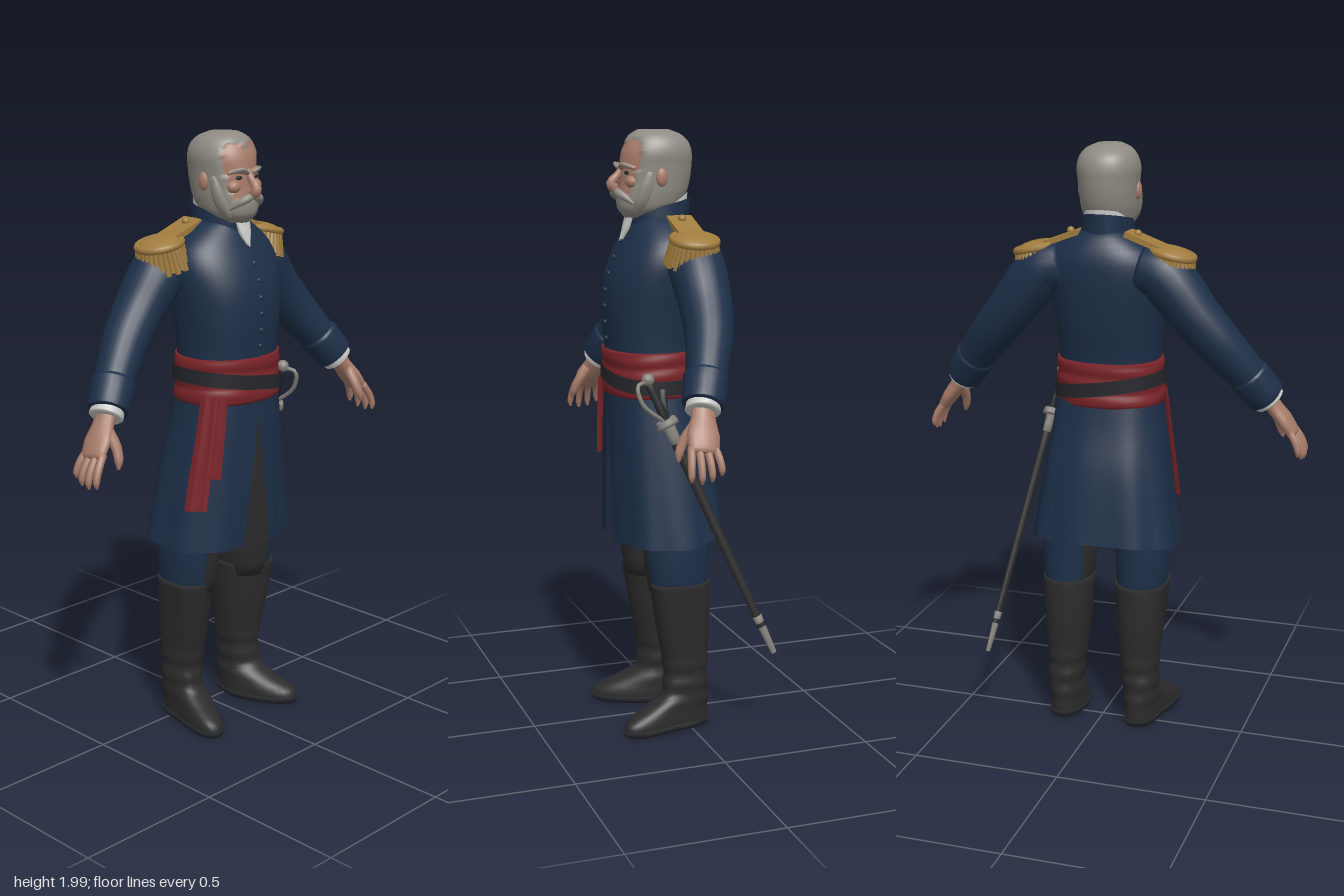
import * as THREE from 'three';
import { mergeGeometries } from 'three/addons/utils/BufferGeometryUtils.js';

const V = (x, y, z) => new THREE.Vector3(x, y, z);
const PI = Math.PI;

// Skin of rings (lists of points); pick(i, j) chooses a material group per face
function loft(rings, { open = false, caps = true, pick = null } = {}) {
  const n = rings[0].length, pos = [], groups = [[], []];
  rings.forEach(r => r.forEach(p => pos.push(p.x, p.y, p.z)));
  const cols = open ? n - 1 : n;
  for (let j = 0; j < rings.length - 1; j++) for (let i = 0; i < cols; i++) {
    const k = (i + 1) % n, a = j * n + i, b = a + n, c = j * n + k, d = c + n;
    groups[pick ? pick(i, j) : 0].push(a, b, c, b, d, c);
  }
  if (!open && caps) for (const j of [0, rings.length - 1]) {
    const m = rings[j].reduce((s, p) => s.add(p), V(0, 0, 0)).divideScalar(n), ci = pos.length / 3;
    pos.push(m.x, m.y, m.z);
    for (let i = 0; i < n; i++) {
      const a = j * n + i, c = j * n + (i + 1) % n;
      groups[pick ? pick(i, Math.max(0, j - 1)) : 0].push(...(j ? [ci, c, a] : [ci, a, c]));
    }
  }
  const g = new THREE.BufferGeometry();
  g.setAttribute('position', new THREE.Float32BufferAttribute(pos, 3));
  g.setIndex([...groups[0], ...groups[1]]);
  if (pick) {
    g.addGroup(0, groups[0].length, 0);
    g.addGroup(groups[0].length, groups[1].length, 1);
  }
  g.computeVertexNormals();
  return g;
}

// Smooth lookup in a table of rows [y, front z, back z, half width, centre x]
function at(st, y) {
  const last = st.length - 1;
  y = Math.min(Math.max(y, st[0][0]), st[last][0]);
  let i = 0;
  while (i < last - 1 && y > st[i + 1][0]) i++;
  const h = st[i + 1][0] - st[i][0], t = (y - st[i][0]) / h;
  const slope = (k, c) => {
    const p = st[Math.max(0, k - 1)], q = st[Math.min(last, k + 1)];
    return (q[c] - p[c]) / (q[0] - p[0]);
  };
  return [1, 2, 3, 4].map(c => st[0][c] === undefined ? 0 :
    (2 * t ** 3 - 3 * t * t + 1) * st[i][c] + (t ** 3 - 2 * t * t + t) * h * slope(i, c) +
    (3 * t * t - 2 * t ** 3) * st[i + 1][c] + (t ** 3 - t * t) * h * slope(i + 1, c));
}
// Point on such a body at angle a (front is PI/2), pushed out by off
function bodyPt(st, a, y, off = 0, p = 2.25) {
  const [zf, zb, rx, cx] = at(st, y), c = Math.cos(a), s = Math.sin(a);
  const pw = v => Math.sign(v) * Math.abs(v) ** (2 / p);
  return V(cx + (rx + off) * pw(c), y, (zf + zb) / 2 + ((zf - zb) / 2 + off) * pw(s));
}
const ring = (n, f) => Array.from({ length: n }, (_, i) => f(i / n * 2 * PI));
const rows = (m, y0, y1, f) => Array.from({ length: m + 1 }, (_, j) => f(y0 + (y1 - y0) * j / m, j / m));
const body = (st, m, n, off = 0, opt = {}, p) =>
  loft(rows(m, st[0][0], st[st.length - 1][0], y => ring(n, a => bodyPt(st, a, y, off, p))), opt);

// Tube along points [x, y, z, radius along side, other radius]
function limb(pts, n = 12, m = 12, side = V(0, 0, 1)) {
  const curve = new THREE.CatmullRomCurve3(pts.map(p => V(p[0], p[1], p[2])));
  return loft(rows(m, 0, 1, t => {
    const c = curve.getPoint(t), d = curve.getTangent(t), f = t * (pts.length - 1);
    const k = Math.min(pts.length - 2, Math.floor(f));
    const r = q => THREE.MathUtils.lerp(pts[k][q] ?? pts[k][3], pts[k + 1][q] ?? pts[k + 1][3], f - k);
    const u = side.clone().addScaledVector(d, -side.dot(d)).normalize(), v = u.clone().cross(d);
    return ring(n, a => c.clone().addScaledVector(u, r(3) * Math.cos(a)).addScaledVector(v, r(4) * Math.sin(a)));
  }));
}
function mirrored(geo) {
  const g = geo.clone().scale(-1, 1, 1), ix = g.index.array;
  for (let i = 0; i < ix.length; i += 3) [ix[i], ix[i + 1]] = [ix[i + 1], ix[i]];
  return g;
}

export function createModel() {
  const root = new THREE.Group();
  const mat = (name, color, side = THREE.FrontSide) => new THREE.MeshStandardMaterial({ name, color, side });
  const navy = mat('navy cloth', 0x1d2f48, THREE.DoubleSide), gold = mat('gold braid', 0xa07c3e);
  const red = mat('red silk', 0x7c2429, THREE.DoubleSide), skin = mat('skin', 0xa87c6a);
  const hair = mat('grey hair', 0x8f8b83), leather = mat('black leather', 0x2b2b2b);
  const belt = mat('dark belt', 0x25272b, THREE.DoubleSide), white = mat('white linen', 0xc9c9c6, THREE.DoubleSide);
  const steel = mat('steel', 0x85827c);
  const add = (name, geo, m) => {
    const o = new THREE.Mesh(geo, m);
    o.name = name;
    root.add(o);
  };
  const pair = (name, geo, m) => { add(name + 'Left', geo, m); add(name + 'Right', mirrored(geo), m); };
  const ball = (x, y, z, r, sx = 1, sy = 1, sz = 1) => new THREE.SphereGeometry(r, 14, 10).scale(sx, sy, sz).translate(x, y, z);

  // Coat body
  const torso = [[1.13, .225, -.06, .176], [1.22, .225, -.055, .172], [1.3, .23, -.06, .172], [1.4, .236, -.077, .181],
    [1.5, .23, -.09, .194], [1.58, .205, -.095, .2], [1.64, .175, -.09, .18], [1.685, .15, -.072, .13], [1.72, .13, -.045, .075]];
  add('coatBody', body(torso, 28, 48), navy);
  add('coatPlacket', loft(rows(16, 1.28, 1.66, y => rows(4, 1.56, 1.68, a => bodyPt(torso, a, y, .005))), { open: true }), navy);
  for (let k = 0; k < 7; k++) {
    const y = 1.32 + k * .053;
    add('coatButton', ball(0, y, at(torso, y)[0] + .003, .009, 1, 1, .7), navy);
  }
  // Standing collar, tilted down to the front, open at the throat
  const collar = (y0, y1, off, gap) => loft(rows(5, y0, y1, (y, t) => rows(40, PI / 2 + gap * t, PI * 2.5 - gap * t, a => {
    const s = Math.sin(a), flare = off + .004 * t;
    return V((.088 - .008 * t + flare) * Math.cos(a), y - .022 * s * t, .05 + (.1 + flare) * s);
  })), { open: true });
  add('collar', collar(1.655, 1.755, 0, .28), navy);
  add('shirtCollar', collar(1.69, 1.768, -.008, .2), white);
  add('cravat', limb([[0, 1.72, .152, .034, .01], [0, 1.68, .163, .026, .012], [0, 1.635, .182, .004, .006]], 10, 8, V(1, 0, 0)), white);

  // Coat skirt, open at the front
  const skirt = [[.645, .228, -.15, .256], [.9, .23, -.115, .217], [1.05, .23, -.08, .193], [1.17, .226, -.058, .176]];
  const skirtPt = (a, y, off = 0) => {
    const p = bodyPt(skirt, a, y, off + .006 * Math.cos(a * 9) * (1.17 - y) * 1.6, 2.4), t = (1.17 - y) / .525;
    p.y += .035 * t * Math.max(0, -Math.sin(a));
    return p;
  };
  add('coatSkirt', loft(rows(16, .645, 1.17, y => {
    const half = Math.max(0, 1.1 - y) * .125, s = Math.asin((half / at(skirt, y)[2]) ** 1.2);
    return rows(64, PI / 2 + s, PI * 2.5 - s, a => skirtPt(a, y));
  }), { open: true }), navy);

  // Sash with folds, hanging tails and slanted sword belt
  add('sash', loft(rows(16, 1.135, 1.285, (y, t) => ring(48, a =>
    bodyPt(torso, a, y, .005 + .006 * Math.abs(Math.sin(t * PI * 3 + .4 * Math.sin(a * 2))))))), red);
  const tail = (a0, a1, y0, off) => loft(rows(10, y0, 1.17, y => rows(8, a0, a1, a =>
    skirtPt(a, y, off + .004 * Math.cos(a * 28)))), { open: true });
  add('sashTailLong', tail(2.42, 2.82, .79, .014), red);
  add('sashTailShort', tail(2.25, 2.6, .9, .022), red);
  add('swordBelt', loft(rows(3, -.024, .024, v => ring(48, a => {
    const p = bodyPt(torso, a, 1.2, .016);
    p.y += v - .15 * p.x;
    return p;
  })), { caps: false }), belt);

  // Legs: trousers with dark inner panel, tall boots
  const leg = [[.47, .125, -.07, .078, .132], [.55, .14, -.072, .087, .132], [.66, .15, -.075, .09, .13], [.85, .16, -.07, .093, .11], [1.12, .16, -.04, .085, .085]];
  const N = 28;
  const trousers = body(leg, 14, N, 0, { pick: i => i > N * .2 && i < N * .6 ? 1 : 0 });
  add('trousersLeft', trousers, [navy, leather]);
  add('trousersRight', mirrored(trousers), [navy, leather]);
  const boot = [[0, .232, -.07, .062, .135], [.03, .236, -.074, .064, .135], [.055, .21, -.073, .062, .135], [.08, .15, -.073, .06, .135],
    [.115, .095, -.073, .06, .137], [.2, .083, -.07, .064, .134], [.35, .108, -.077, .078, .131], [.47, .127, -.078, .086, .131], [.51, .132, -.076, .088, .131]];
  const footPt = (a, y, off) => {
    const p = bodyPt(boot, a, y, off);
    p.x += .3 * Math.max(0, p.z - .05);
    return p;
  };
  pair('boot', loft(rows(36, 0, .51, y => ring(32, a => footPt(a, y, .003 * Math.sin(y * 90) * (y > .06 && y < .24))))), leather);
  pair('bootSole', loft(rows(1, 0, .02, y => ring(32, a => footPt(a, y, .004)))), belt);

  // Arms, cuffs and hands
  pair('sleeve', limb([[.13, 1.6, 0, .08], [.2, 1.585, 0, .092], [.25, 1.535, 0, .092, .09], [.31, 1.46, .002, .085, .082], [.385, 1.37, .018, .077],
    [.46, 1.28, .052, .067], [.53, 1.19, .088, .058]], 20, 28), navy);
  pair('cuff', limb([[.475, 1.262, .06, .064], [.482, 1.252, .064, .071], [.535, 1.182, .092, .066], [.538, 1.178, .094, .055]], 20, 9), navy);
  pair('shirtCuff', limb([[.525, 1.195, .088, .052], [.546, 1.166, .098, .055], [.55, 1.161, .1, .045]], 18, 4), white);
  const hand = [limb([[.54, 1.18, .095, .036, .027], [.565, 1.14, .104, .04, .027], [.595, 1.1, .114, .052, .026], [.622, 1.06, .122, .048, .02], [.628, 1.05, .124, .03, .012]], 14, 12),
    limb([[.57, 1.13, .13, .02], [.566, 1.085, .165, .017], [.572, 1.045, .183, .014], [.578, 1.02, .187, .005]], 8, 9, V(1, 0, 0))];
  for (let k = 0; k < 4; k++) {
    const z = .088 + k * .024, len = [.8, .95, 1, .93][k], sp = (k - 1.5) * .006;
    hand.push(limb([[.615, 1.07, z, .013], [.615 + .03 * len, 1.07 - .045 * len, z + sp, .0125],
      [.615 + .044 * len, 1.07 - .085 * len, z + sp * 1.5, .011], [.615 + .042 * len, 1.07 - .106 * len, z + sp * 1.5, .004]], 8, 9));
  }
  pair('hand', mergeGeometries(hand), skin);

  // Epaulettes: strap, padded disc and hanging fringe
  const ep = [ball(0, 0, 0, .074, 1, .32, 1), new THREE.TorusGeometry(.07, .013, 8, 28).rotateX(PI / 2),
    new THREE.CylinderGeometry(.066, .078, .06, 24).translate(0, -.035, 0)];
  for (let k = 0; k < 25; k++) {
    const a = (k / 24 - .5) * PI * 1.5, len = .075 + .008 * (k % 2);
    ep.push(new THREE.CylinderGeometry(.008, .011, len, 6).translate(0, -len / 2, 0).rotateZ(.2).translate(.07, -.003, 0).rotateY(a));
  }
  pair('epaulette', mergeGeometries(ep).rotateZ(-.22).translate(.232, 1.652, .01), gold);
  pair('epauletteStrap', new THREE.BoxGeometry(.14, .018, .085).rotateZ(-.36).translate(.145, 1.688, .01), gold);
  pair('epauletteButton', ball(.115, 1.712, .01, .013), gold);

  // Head: skin face with grey hair, whiskers and beard
  add('neck', new THREE.CylinderGeometry(.066, .07, .14, 20).translate(0, 1.71, .05), skin);
  const head = [[1.712, .16, .07, .04], [1.74, .182, .0, .072], [1.78, .186, -.03, .085], [1.83, .182, -.046, .09], [1.88, .18, -.052, .094],
    [1.92, .174, -.052, .097], [1.955, .158, -.04, .087], [1.98, .137, -.012, .066], [1.994, .112, .025, .035]];
  const isHair = (a, y) => {
    const d = Math.abs(a - PI / 2 > PI ? a - 2.5 * PI : a - PI / 2);
    if (y < 1.785) return true;
    if (y < 1.865) return d > .62 + (y - 1.785) * 2;
    if (y < 1.91) return d > .95;
    return y > 1.965 || d > .95 - (y - 1.91) * 4 || (d < .16 && y > 1.95);
  };
  const H = 56, M = 44, headY = j => 1.712 + .282 * j / M;
  add('head', loft(rows(M, 1.712, 1.994, y => ring(H, a => bodyPt(head, a, y, isHair(a, y) ? .006 : 0, 2.1))),
    { pick: (i, j) => isHair((i + .5) / H * 2 * PI, headY(j + .5)) ? 1 : 0 }), [skin, hair]);
  add('nose', limb([[0, 1.878, .17, .012], [0, 1.85, .19, .012], [0, 1.824, .212, .017], [0, 1.808, .203, .018], [0, 1.8, .188, .01]], 12, 12, V(1, 0, 0)), skin);
  pair('ear', ball(.097, 1.843, .072, .03, .4, 1, .65), skin);
  pair('cheek', ball(.047, 1.828, .158, .026, 1, .8, .8), skin);
  pair('browRidge', limb([[.006, 1.87, .18, .008], [.035, 1.88, .179, .01], [.07, 1.872, .152, .007]], 8, 8), skin);
  pair('eyebrow', limb([[.012, 1.873, .188, .005], [.038, 1.884, .187, .007], [.07, 1.873, .158, .003]], 8, 8), hair);
  pair('eye', ball(.037, 1.857, .171, .011, 1.2, .6, .7), belt);
  pair('moustache', limb([[0, 1.797, .194, .011], [.025, 1.793, .197, .014], [.05, 1.777, .178, .012], [.066, 1.758, .156, .004]], 10, 10), hair);
  pair('whisker', limb([[.085, 1.86, .105, .014, .01], [.083, 1.81, .118, .025, .014], [.07, 1.765, .13, .028, .016], [.045, 1.73, .145, .015]], 10, 10), hair);

  // Sword hanging at the left hip
  const A = V(.196, 1.2, .155), B = V(.34, .29, -.235);
  const blade = (name, t0, t1, r, m, r2 = r) => {
    const p = A.clone().lerp(B, t0), q = A.clone().lerp(B, t1);
    add(name, limb([[p.x, p.y, p.z, r, r * .75], [q.x, q.y, q.z, r2, r2 * .75]], 12, 3), m);
  };
  blade('swordGrip', 0, .14, .014, belt, .016);
  blade('swordGuard', .135, .16, .034, steel, .04);
  blade('scabbardThroat', .155, .22, .022, steel, .019);
  blade('scabbard', .16, .9, .019, leather, .015);
  blade('scabbardTip', .86, 1, .0175, steel, .01);
  add('swordPommel', ball(A.x, A.y + .006, A.z, .021), steel);
  const bow = new THREE.CatmullRomCurve3([A.clone(), V(.215, 1.19, .195), V(.225, 1.13, .18), A.clone().lerp(B, .15)]);
  add('knuckleBow', new THREE.TubeGeometry(bow, 16, .007, 8), steel);
  add('swordHanger', limb([[.185, 1.17, .1, .012, .005], [.205, 1.1, .1, .012, .005], [.22, 1.05, .09, .012, .005]], 8, 6), belt);
  return root;
}
